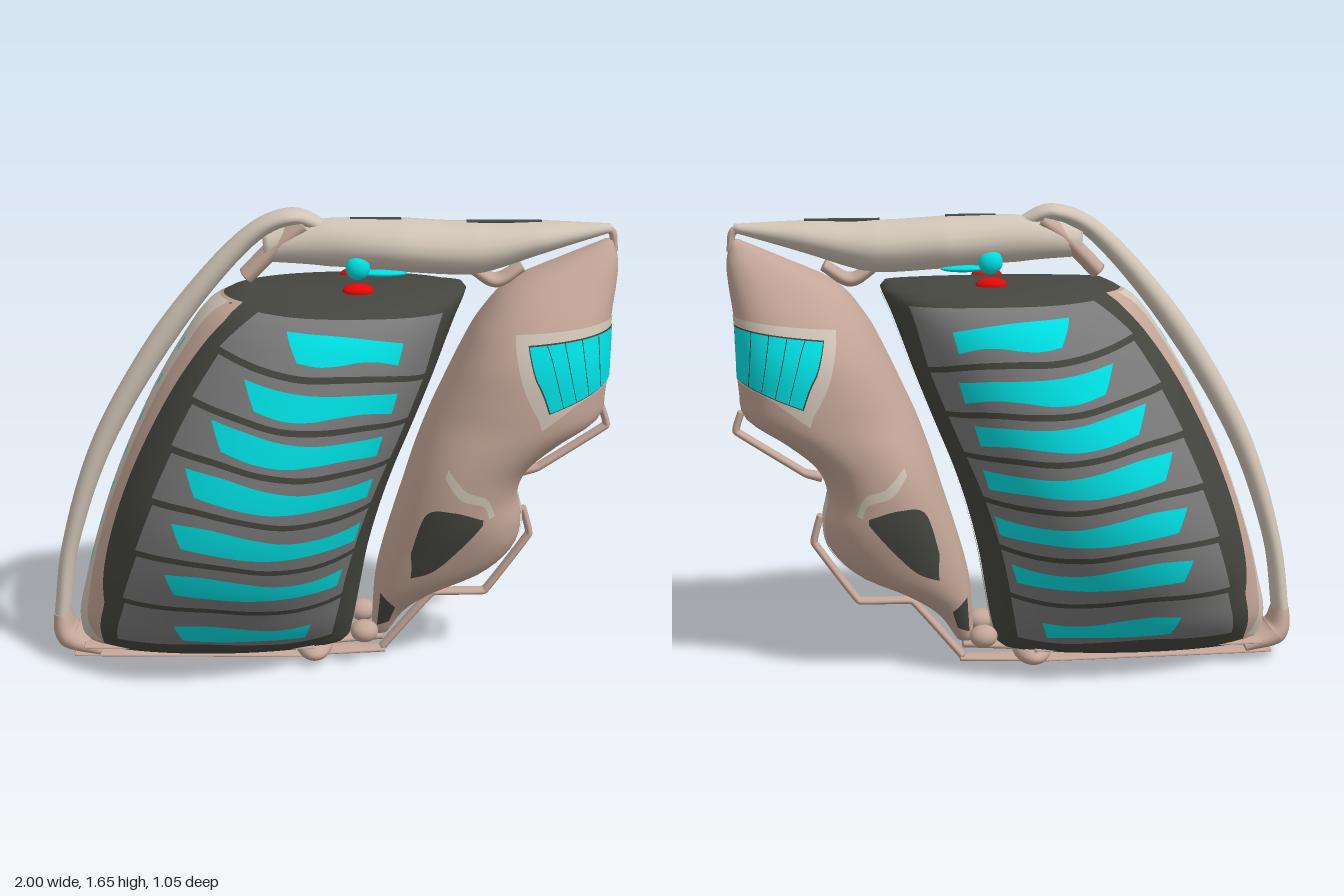
import * as THREE from 'three';

const mat = (name, color) => Object.assign(new THREE.MeshStandardMaterial({ color }), { name });
const M = {
  skin: mat('dusty pink', 0xc4a698), tan: mat('pale tan', 0xd0c4b6), dark: mat('dark olive grey', 0x45463f),
  grey: mat('mid grey', 0x7a7a7a), cyan: mat('cyan', 0x00e0e4), red: mat('red', 0xff0808),
};

// Smooth surface from a function of u and v on a regular grid
function grid(fn, nu, nv, flip = false) {
  const pos = [], idx = [];
  for (let j = 0; j <= nv; j++) for (let i = 0; i <= nu; i++) pos.push(...fn(i / nu, j / nv).toArray());
  for (let j = 0; j < nv; j++) for (let i = 0; i < nu; i++) {
    const a = j * (nu + 1) + i, b = a + 1, c = a + nu + 1, d = c + 1;
    idx.push(...(flip ? [a, d, b, a, c, d] : [a, b, d, a, d, c]));
  }
  const g = new THREE.BufferGeometry();
  g.setAttribute('position', new THREE.Float32BufferAttribute(pos, 3));
  g.setIndex(idx);
  g.computeVertexNormals();
  return g;
}

// Inflated shell; rows are [y, left x, right x, half thickness], p sets bluntness
function shell(rows, p) {
  const spline = new THREE.CubicInterpolant(rows.map(r => r[0]), rows.flatMap(r => r.slice(1)), 3);
  const y0 = rows[0][0], y1 = rows[rows.length - 1][0];
  const pw = (v, e) => Math.sign(v) * Math.abs(v) ** e;
  const section = y => {
    const [l, r, t] = spline.evaluate(THREE.MathUtils.clamp(y, y0, y1));
    return { c: (l + r) / 2, h: (r - l) / 2, t, l, r };
  };
  const at = (a, y, off = 0) => {
    const s = section(y);
    return new THREE.Vector3(s.c - (s.h + off) * pw(Math.cos(a), p), y, (s.t + off) * pw(Math.sin(a), p));
  };
  const angle = (x, y) => {
    const s = section(y);
    return Math.acos(THREE.MathUtils.clamp(pw((s.c - x) / s.h, 1 / p), -1, 1));
  };
  const angleZ = (z, y) => Math.asin(pw(THREE.MathUtils.clamp(z / section(y).t, -0.55, 0.55), 1 / p));
  return { at, angle, angleZ, section, y0, y1 };
}

// Closed skin of a shell with capped ends
function skinOf(s) {
  const n = 64;
  return grid((u, v) => {
    const j = Math.round(v * n);
    const y = THREE.MathUtils.lerp(s.y0, s.y1, THREE.MathUtils.clamp((j - 1) / (n - 2), 0, 1));
    if (j === 0 || j === n) return new THREE.Vector3(s.section(y).c, y, 0);
    return s.at(u * Math.PI * 2, y);
  }, 72, n);
}

// Strip on the rear (-x) or front (+x) edge of a shell, between two depths and two heights
const strip = (s, z0, z1, y0, y1, off, front = false) => grid((u, v) => {
  const y = y0 + (y1 - y0) * v, a = s.angleZ(z0 + (z1 - z0) * (front ? 1 - u : u), y);
  return s.at(front ? Math.PI - a : a, y, off);
}, 12, 48);

// Painted patch between a lower and an upper line of [x, y] points, side is 1 or -1
function patch(s, low, high, off, side) {
  const [lo, hi] = [low, high].map(l => new THREE.SplineCurve(l.map(q => new THREE.Vector2(...q))));
  return grid((u, v) => {
    const a = lo.getPoint(u), b = hi.getPoint(u);
    const y = a.y + (b.y - a.y) * v;
    const an = THREE.MathUtils.lerp(s.angle(a.x, a.y), s.angle(b.x, b.y), v);
    return s.at(an * side, y, off);
  }, 20, 8, side < 0);
}

// Tapered bar along flat points [x, y, in-plane radius, z radius]
function sweep(pts, tension = 0.5) {
  const curve = new THREE.CatmullRomCurve3(pts.map(q => new THREE.Vector3(q[0], q[1], 0)), false, 'catmullrom', tension);
  const n = 60;
  return grid((u, v) => {
    const i = Math.round(u * n), t = THREE.MathUtils.clamp((i - 1) / (n - 2), 0, 1);
    const k = Math.min(Math.floor(t * (pts.length - 1)), pts.length - 2), f = t * (pts.length - 1) - k;
    const o = i === 0 || i === n ? 0 : 1, d = curve.getTangent(t), w = v * Math.PI * 2;
    const rn = o * THREE.MathUtils.lerp(pts[k][2], pts[k + 1][2], f);
    const rz = o * THREE.MathUtils.lerp(pts[k][3], pts[k + 1][3], f);
    return curve.getPoint(t).add(new THREE.Vector3(-d.y * rn * Math.cos(w), d.x * rn * Math.cos(w), rz * Math.sin(w)));
  }, n, 20, true);
}

export function createModel() {
  const group = new THREE.Group();
  const add = (name, geo, material) => {
    const m = new THREE.Mesh(geo, material);
    m.name = name;
    group.add(m);
    return m;
  };
  const both = (name, s, low, high, off, material) => {
    for (const side of [1, -1]) add(name, patch(s, low, high, off, side), material);
  };
  const ball = (name, x, y, z, rx, ry, rz, material) => {
    const g = new THREE.SphereGeometry(1, 24, 16).scale(rx, ry, rz);
    add(name, g, material).position.set(x, y, z);
  };

  // Swollen main body
  const body = shell([
    [0.07, -0.88, 0.08, 0.16], [0.18, -0.89, 0.10, 0.285], [0.3, -0.865, 0.12, 0.37], [0.42, -0.835, 0.14, 0.445],
    [0.6, -0.78, 0.185, 0.505], [0.75, -0.725, 0.235, 0.518], [0.9, -0.66, 0.295, 0.505], [1.08, -0.57, 0.365, 0.465],
    [1.22, -0.485, 0.415, 0.415], [1.3, -0.43, 0.445, 0.365], [1.345, -0.385, 0.465, 0.315], [1.37, -0.345, 0.475, 0.25],
    [1.388, -0.315, 0.475, 0.17], [1.398, -0.29, 0.46, 0.08],
  ], 1);
  add('body', skinOf(body), M.dark);
  add('bodyRearRim', strip(body, -0.2, 0.2, 0.08, 1.365, 0.005), M.skin);
  add('bodySpine', strip(body, -0.11, 0.11, 0.1, 1.36, 0.008), M.tan);
  add('bodyFrontRim', strip(body, -0.04, 0.04, 0.09, 1.36, 0.005, true), M.tan);
  for (let i = 0; i < 7; i++) for (const s of [-1, 1]) {
    const y = 0.4 + i * 0.13;
    add('spineDash', strip(body, s * 0.06 - 0.008, s * 0.06 + 0.008, y, y + 0.04, 0.011), M.cyan);
  }

  // Grey ribs, each with a cyan stripe [start x, end x, middle y]
  const bounds = [1.355, 1.18, 1.02, 0.87, 0.705, 0.525, 0.33, 0.13];
  const stripes = [[-0.14, 0.24, 1.265], [-0.28, 0.22, 1.1], [-0.39, 0.17, 0.95], [-0.48, 0.14, 0.79],
    [-0.53, 0.1, 0.615], [-0.56, 0.04, 0.435], [-0.54, -0.07, 0.208]];
  const bend = (x, y) => -(0.01 + 0.11 * y) * (x - body.section(y).c) + 0.012 * Math.sin(x * 11);
  const line = (x0, x1, y, wave = 0, slope = 1) => [0, 0.2, 0.4, 0.6, 0.8, 1].map(f => {
    const x = x0 + (x1 - x0) * f;
    return [x, y + slope * bend(x, y) + wave * Math.sin(f * Math.PI * 2)];
  });
  stripes.forEach(([x0, x1, mid], i) => {
    const lo = bounds[i + 1] + 0.01, hi = bounds[i] - 0.01;
    const a = body.section(lo), b = body.section(hi);
    both('rib', body, line(a.l + 0.14, a.r - 0.085, lo), line(b.l + 0.15, b.r - 0.085, hi, 0, i ? 1 : 0.15), 0.004, M.grey);
    both('ribStripe', body, line(x0 + 0.03, x1 - 0.02, mid - 0.039, -0.008),
      line(x0, x1, mid + 0.036, 0.004, 1.15), 0.007, M.cyan);
  });

  // Face-like front section
  const head = shell([
    [0.09, 0.16, 0.22, 0.04], [0.2, 0.165, 0.3, 0.09], [0.28, 0.17, 0.42, 0.14], [0.35, 0.18, 0.57, 0.18],
    [0.45, 0.205, 0.67, 0.22], [0.55, 0.235, 0.69, 0.25], [0.66, 0.27, 0.675, 0.265], [0.76, 0.3, 0.72, 0.272],
    [0.85, 0.33, 0.83, 0.278], [0.93, 0.36, 0.95, 0.28], [1.02, 0.4, 0.97, 0.28], [1.15, 0.46, 0.975, 0.268],
    [1.28, 0.53, 0.98, 0.215], [1.4, 0.64, 0.995, 0.135], [1.47, 0.79, 0.998, 0.08], [1.54, 0.95, 0.98, 0.02],
  ], 0.87);
  add('head', skinOf(head), M.skin);
  add('chinBand', strip(head, -0.09, 0.09, 0.34, 0.66, 0.004, true), M.tan);
  add('browSlot', strip(head, -0.007, 0.007, 1.02, 1.23, 0.004, true), M.dark);
  for (const s of [-1, 1]) {
    add('hollow', strip(head, s * 0.075 - 0.025, s * 0.075 + 0.025, 0.77, 0.92, 0.004, true), M.dark);
  }
  both('cheekPatch', head, [[0.29, 0.36], [0.37, 0.4], [0.46, 0.5], [0.53, 0.59]],
    [[0.29, 0.46], [0.34, 0.62], [0.43, 0.64], [0.53, 0.61]], 0.004, M.dark);
  both('jawPatch', head, [[0.18, 0.13], [0.22, 0.15]], [[0.19, 0.27], [0.24, 0.22]], 0.004, M.dark);
  both('cheekLine', head, [[0.4, 0.76], [0.45, 0.69], [0.53, 0.66], [0.55, 0.61]],
    [[0.41, 0.79], [0.47, 0.72], [0.54, 0.69], [0.57, 0.62]], 0.004, M.tan);

  // Side windows: border, backing and panes, ending short of the middle line
  const edge = (z, y) => [head.at(Math.PI - head.angleZ(z, y), y).x, y];
  both('windowBorder', head, [[0.72, 0.94], [0.85, 1.03], edge(0.05, 1.07)], [[0.63, 1.26], [0.8, 1.275], edge(0.05, 1.29)], 0.003, M.tan);
  both('windowBacking', head, [[0.74, 1.0], edge(0.08, 1.08)], [[0.67, 1.23], edge(0.08, 1.262)], 0.005, M.dark);
  const mix = (p, q, f) => [p[0] + (q[0] - p[0]) * f, p[1] + (q[1] - p[1]) * f];
  const low = f => mix([0.743, 1.005], edge(0.085, 1.085), f), high = f => mix([0.674, 1.226], edge(0.085, 1.258), f);
  for (let i = 0; i < 5; i++) {
    const f0 = i / 5, f1 = (i + 0.95) / 5;
    both('windowPane', head, [low(f0), low(f1)], [high(f0), high(f1)], 0.008, M.cyan);
  }

  // Upper beam with two slots, and curved rear handle
  add('upperBeam', sweep([[-0.22, 1.52, 0.05, 0.05], [0, 1.535, 0.082, 0.09], [0.25, 1.525, 0.09, 0.135],
    [0.5, 1.515, 0.09, 0.13], [0.73, 1.55, 0.055, 0.1], [0.97, 1.58, 0.015, 0.02]]), M.tan);
  add('beamSlot', sweep([[0.08, 1.614, 0.007, 0.01], [0.25, 1.614, 0.007, 0.01]]), M.dark);
  add('beamSlot', sweep([[0.48, 1.603, 0.007, 0.012], [0.73, 1.603, 0.007, 0.012]]), M.dark);
  add('rearHandle', sweep([[-0.965, 0.15, 0.03, 0.06], [-0.92, 0.45, 0.03, 0.05], [-0.79, 0.83, 0.038, 0.05],
    [-0.56, 1.22, 0.042, 0.05], [-0.3, 1.53, 0.035, 0.05], [-0.13, 1.625, 0.028, 0.07], [0, 1.58, 0.025, 0.03]]), M.tan);
  add('handleBrace', sweep([[-0.28, 1.42, 0.03, 0.06], [-0.17, 1.53, 0.03, 0.06], [-0.08, 1.6, 0.03, 0.06]]), M.skin);
  add('headJoint', sweep([[0.5, 1.44, 0.02, 0.05], [0.58, 1.4, 0.025, 0.05], [0.67, 1.45, 0.02, 0.04]]), M.skin);
  add('browRail', sweep([[0.9, 1.58, 0.01, 0.02], [0.97, 1.57, 0.014, 0.02], [0.985, 1.5, 0.012, 0.02]]), M.skin);

  // Base rails and corner joints
  add('rearFoot', sweep([[-0.965, 0.18, 0.03, 0.06], [-0.94, 0.09, 0.05, 0.09], [-0.82, 0.05, 0.03, 0.1]]), M.skin);
  add('lowerRail', sweep([[-0.9, 0.032, 0.012, 0.08], [-0.05, 0.025, 0.012, 0.1]]), M.skin);
  add('upperRail', sweep([[-0.86, 0.078, 0.012, 0.12], [-0.05, 0.075, 0.012, 0.14]]), M.skin);
  ball('baseJoint', -0.05, 0.045, 0, 0.07, 0.044, 0.15, M.skin);
  ball('baseStud', -0.05, 0.0185, 0, 0.045, 0.018, 0.07, M.cyan);
  for (const s of [-1, 1]) ball('neckLobe', 0.13, 0.125, s * 0.095, 0.05, 0.04, 0.05, M.skin);
  add('frontLowerRail', sweep([[-0.05, 0.012, 0.012, 0.06], [0.21, 0.015, 0.012, 0.03]]), M.skin);
  add('frontUpperRail', sweep([[-0.02, 0.065, 0.015, 0.08], [0.2, 0.075, 0.02, 0.04]]), M.skin);
  add('chinRail', sweep([[0.2, 0.02, 0.014, 0.025], [0.38, 0.235, 0.013, 0.025], [0.57, 0.24, 0.013, 0.025],
    [0.725, 0.46, 0.013, 0.025], [0.7, 0.56, 0.013, 0.025]], 0.08), M.skin);
  add('jawRail', sweep([[0.69, 0.7, 0.02, 0.025], [0.75, 0.715, 0.014, 0.025], [0.985, 0.87, 0.013, 0.025],
    [0.965, 0.94, 0.013, 0.025]], 0.08), M.skin);

  // Small coloured studs under the beam
  for (const s of [-1, 1]) {
    ball('cyanStud', 0.1, 1.465, s * 0.085, 0.042, 0.042, 0.032, M.cyan);
    ball('cyanTail', 0.19, 1.44, s * 0.06, 0.08, 0.012, 0.03, M.cyan);
    ball('redStud', 0.1, 1.392, s * 0.118, 0.054, 0.026, 0.036, M.red);
  }
  return group;
}
